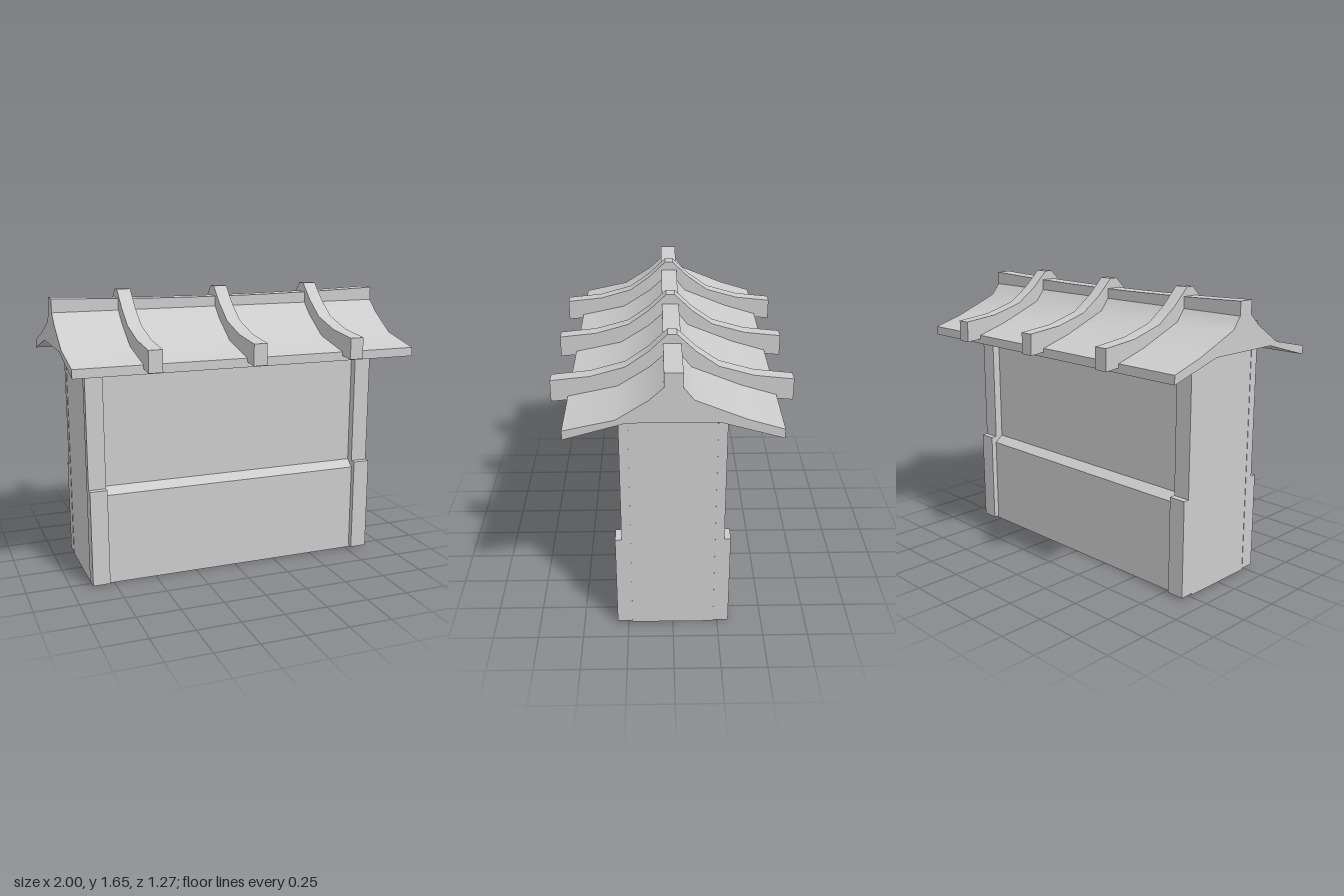
import * as THREE from 'three';
import { toCreasedNormals } from 'three/addons/utils/BufferGeometryUtils.js';

export function createModel() {
  const model = new THREE.Group();
  model.name = 'roofedWall';
  const stone = new THREE.MeshStandardMaterial({ color: 0xcccccc });
  stone.name = 'paleGrey';

  const add = (name, geometry) => {
    const mesh = new THREE.Mesh(geometry, stone);
    mesh.name = name;
    model.add(mesh);
    return mesh;
  };

  // Box given by its limits on each axis
  const block = (name, [x0, x1], [y0, y1], [z0, z1]) =>
    add(name, new THREE.BoxGeometry(x1 - x0, y1 - y0, z1 - z0))
      .position.set((x0 + x1) / 2, (y0 + y1) / 2, (z0 + z1) / 2);

  // Profile of [z, y] points swept along x, softly shaded along shallow bends
  const sweep = (name, points, x0, x1) => {
    const shape = new THREE.Shape(points.map(([z, y]) => new THREE.Vector2(-z, y)));
    const geometry = new THREE.ExtrudeGeometry(shape, { depth: x1 - x0, bevelEnabled: false });
    geometry.rotateY(Math.PI / 2).translate(x0, 0, 0);
    add(name, toCreasedNormals(geometry, THREE.MathUtils.degToRad(35)));
  };
  const mirrored = (half) => [...half, ...half.map(([z, y]) => [-z, y]).reverse()];

  // Wall core with a sloped ledge on its thicker lower half
  block('wall', [-0.878, 0.878], [0, 1.35], [-0.23, 0.23]);
  sweep('plinth', mirrored([[0.28, 0], [0.28, 0.53], [0.23, 0.57]]), -0.79, 0.79);

  // Stepped corner posts
  for (const sx of [-1, 1]) {
    const xs = sx > 0 ? [0.78, 0.88] : [-0.88, -0.78];
    for (const sz of [-1, 1]) {
      const span = (outer) => (sz > 0 ? [0.228, outer] : [-outer, -0.228]);
      block('upperPost', xs, [0.57, 1.35], span(0.277));
      block('lowerPost', xs, [0.01, 0.57], span(0.312));
    }
  }

  // Curved roof, its flat soffit and the gently sagging ridge
  sweep('roof', [
    [0.23, 1.37], [0.23, 1.35], [0.547, 1.26], [0.547, 1.31], [0.285, 1.367],
    [0.12, 1.473], [0.047, 1.54], [-0.047, 1.54], [-0.1, 1.473], [-0.36, 1.367],
    [-0.547, 1.31], [-0.547, 1.26], [-0.23, 1.35], [-0.23, 1.37],
  ], -1, 1);
  block('soffit', [-1, 1], [1.35, 1.37], [-0.23, 0.23]);

  const ridge = new THREE.BoxGeometry(2, 0.06, 0.094, 12, 1, 1);
  const p = ridge.attributes.position;
  for (let i = 0; i < p.count; i++) {
    p.setY(i, p.getY(i) > 0 ? 1.597 + 0.02 * p.getX(i) ** 2 : 1.54);
  }
  ridge.computeVertexNormals();
  add('ridge', ridge);

  // Three ribs curving over the roof and past the eaves
  const rib = mirrored([
    [0.23, 1.38], [0.53, 1.29], [0.637, 1.28], [0.637, 1.4], [0.43, 1.422],
    [0.243, 1.475], [0.123, 1.56], [0.024, 1.655],
  ]);
  for (const x of [-0.584, 0, 0.582]) sweep('roofRib', rib, x - 0.039, x + 0.039);

  return model;
}
